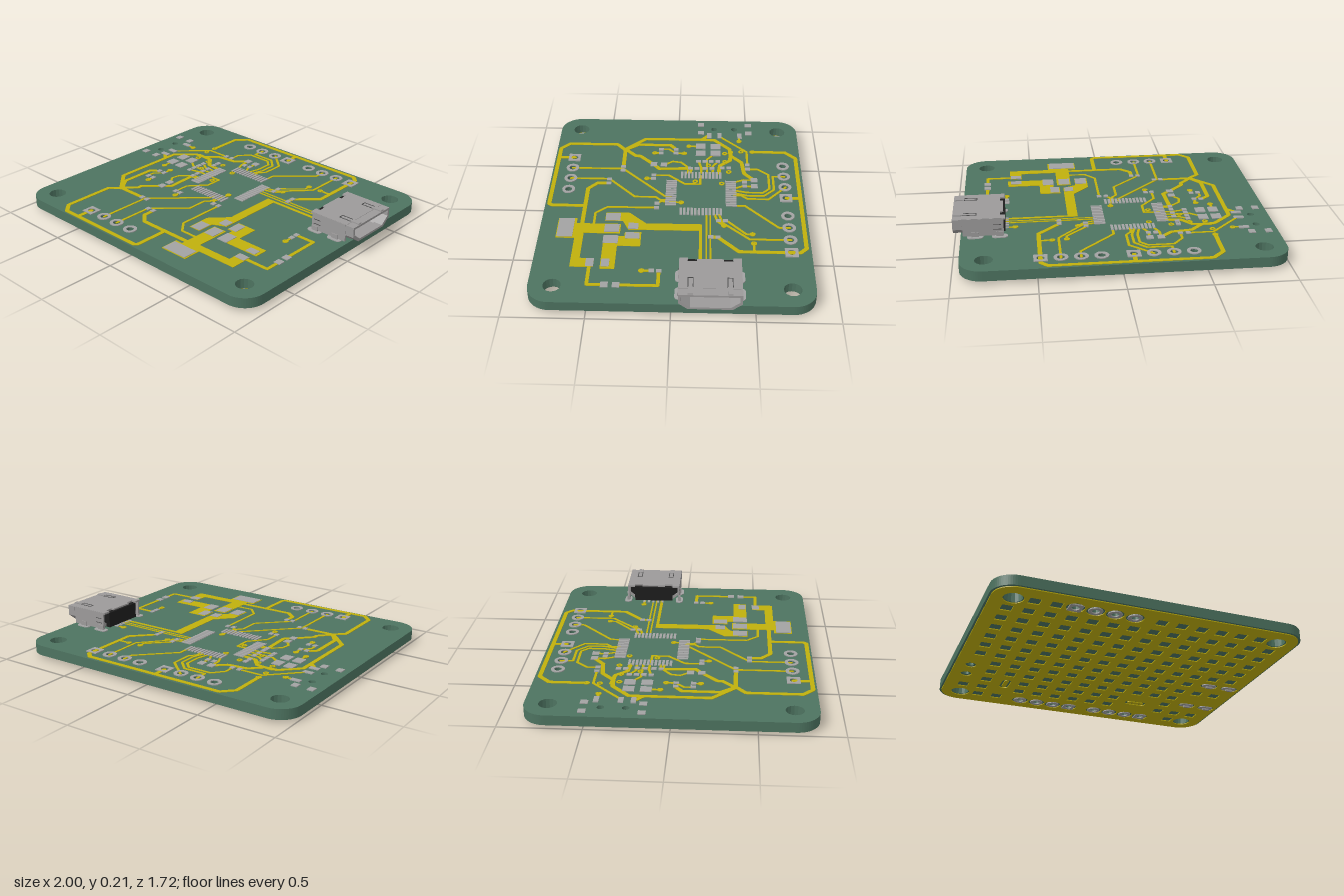
import * as THREE from 'three';
import { mergeGeometries } from 'three/addons/utils/BufferGeometryUtils.js';

const paint = (name, color) => new THREE.MeshStandardMaterial({ name, color });

// Plan outlines use (x, z); all corners rounded by r
function roundRect(T, cx, cz, w, d, r) {
  const s = new T(), a = w / 2 - r, b = d / 2 - r, q = Math.PI / 2;
  s.moveTo(cx + a + r, cz - b);
  s.absarc(cx + a, cz + b, r, 0, q);
  s.absarc(cx - a, cz + b, r, q, 2 * q);
  s.absarc(cx - a, cz - b, r, 2 * q, 3 * q);
  s.absarc(cx + a, cz - b, r, 3 * q, 4 * q);
  return s;
}
const circle = (T, x, z, r) => new T().absarc(x, z, r, 0, Math.PI * 2);
const polygon = (p, T = THREE.Shape) => {
  const pts = [];
  for (let i = 0; i < p.length; i += 2) pts.push(new THREE.Vector2(p[i], p[i + 1]));
  return new T(pts);
};
const rect = (T, x, z, w, d) => polygon([x - w / 2, z - d / 2, x + w / 2, z - d / 2, x + w / 2, z + d / 2, x - w / 2, z + d / 2], T);
// Horizontal slab from a plan outline
function slab(shape, y0, y1) {
  const g = new THREE.ExtrudeGeometry(shape, { depth: y1 - y0, bevelEnabled: false, curveSegments: 8 });
  return g.rotateX(Math.PI / 2).translate(0, y1, 0);
}
const box = (x, y, z, w, h, d) => new THREE.BoxGeometry(w, h, d).translate(x, y, z);

export function createModel() {
  const model = new THREE.Group();
  const green = paint('boardGreen', 0x4d7360), gold = paint('copperGold', 0xc0b00c);
  const grey = paint('solderGrey', 0xa2a2a2), steel = paint('shellSteel', 0x9c9a9a);
  const black = paint('plasticBlack', 0x1d1d1d), dark = paint('seamGrey', 0x4a4a4a);
  const add = (name, mat, list) => {
    const m = new THREE.Mesh(mergeGeometries(list.map(g => (g.index ? g.toNonIndexed() : g))), mat);
    m.name = name;
    model.add(m);
  };
  const TOP = 0.085, BOT = 0.021, CU = 0.088, PAD = 0.0905;

  // Hole positions
  const corners = [[-0.86, -0.72], [0.81, -0.72], [-0.86, 0.71], [0.81, 0.71]];
  const pins = [-0.43, -0.31, -0.19, -0.07, 0.12, 0.24, 0.36, 0.48].map(x => [x, -0.735, x === -0.07 || x === 0.48])
    .concat([-0.497, -0.375, -0.255, -0.13].map(x => [x, 0.72, x < -0.49]));
  const pegs = [[-0.887, -0.408], [-0.887, -0.262]];
  const tabs = [[0.715, -0.415], [0.715, -0.045], [0.865, -0.415], [0.865, -0.045]];

  // Board
  const board = roundRect(THREE.Shape, -0.0225, -0.0025, 1.955, 1.715, 0.14);
  corners.forEach(([x, z]) => board.holes.push(circle(THREE.Path, x, z, 0.055)));
  pins.forEach(([x, z]) => board.holes.push(circle(THREE.Path, x, z, 0.024)));
  pegs.forEach(([x, z]) => board.holes.push(circle(THREE.Path, x, z, 0.022)));
  add('board', green, [slab(board, BOT, TOP)]);

  // Hatched copper underneath, with clearances round the holes
  const hatch = roundRect(THREE.Shape, -0.0225, -0.0025, 1.93, 1.69, 0.13);
  corners.forEach(([x, z]) => hatch.holes.push(circle(THREE.Path, x, z, 0.062)));
  pins.forEach(([x, z]) => hatch.holes.push(circle(THREE.Path, x, z, 0.056)));
  pegs.forEach(([x, z]) => hatch.holes.push(circle(THREE.Path, x, z, 0.036)));
  tabs.forEach(([x, z]) => hatch.holes.push(roundRect(THREE.Path, x, z, 0.12, 0.07, 0.034)));
  const links = [[0.355, -0.505, 0.12, 0.03], [-0.6, -0.49, 0.03, 0.11]];
  links.forEach(([x, z, w, d]) => hatch.holes.push(roundRect(THREE.Path, x, z, w + 0.03, d + 0.03, 0.028)));
  const keepOut = [...corners, ...pins, ...pegs, ...tabs, ...links];
  for (let i = 0; i < 14; i++) for (let j = 0; j < 12; j++) {
    const x = -0.0225 + (i - 6.5) * 0.13, z = (j - 5.5) * 0.13;
    if (keepOut.every(([a, b]) => Math.max(Math.abs(a - x), Math.abs(b - z)) > 0.098))
      hatch.holes.push(rect(THREE.Path, x, z, 0.068, 0.068));
  }
  add('bottomCopper', gold, [slab(hatch, 0.015, BOT), ...links.map(([x, z, w, d]) =>
    slab(roundRect(THREE.Shape, x, z, w, d, 0.014), 0.015, BOT))]);

  // Traces: flat strips with round joints
  const copper = [];
  const trace = (w, ...p) => {
    for (let i = 0; i < p.length; i += 2) {
      const [x, z, x2, z2] = p.slice(i, i + 4);
      copper.push(new THREE.CylinderGeometry(w / 2, w / 2, CU - TOP, 8).translate(x, (CU + TOP) / 2, z));
      if (x2 === undefined) break;
      copper.push(new THREE.BoxGeometry(Math.hypot(x2 - x, z2 - z), CU - TOP, w)
        .rotateY(-Math.atan2(z2 - z, x2 - x)).translate((x + x2) / 2, (CU + TOP) / 2, (z + z2) / 2));
    }
  };
  const W = 0.027, N = 0.016;
  // supply loops
  trace(W, -0.6, -0.53, -0.6, -0.76, -0.53, -0.83, 0.44, -0.83, 0.48, -0.79, 0.48, -0.41, 0.345, -0.28, 0.345, -0.24);
  trace(W, -0.07, -0.83, -0.07, -0.74);
  trace(N, 0.48, -0.505, 0.4, -0.505);
  trace(W, -0.4, 0.37, -0.6, 0.37, -0.67, 0.43, -0.67, 0.77, -0.61, 0.83, 0.03, 0.83, 0.045, 0.81, 0.045, 0.59);
  trace(W, -0.5, 0.72, -0.5, 0.83);
  trace(W, -0.205, 0.455, -0.205, 0.53, -0.14, 0.59, 0.23, 0.59);
  trace(W, -0.265, -0.53, -0.34, -0.465, -0.47, -0.45, -0.55, -0.375, -0.63, -0.37, -0.745, -0.26, -0.745, 0.23, -0.605, 0.375);
  trace(W, -0.8, -0.22, -0.745, -0.17);
  trace(W, -0.62, 0.01, -0.67, 0.05, -0.67, 0.28, -0.61, 0.36);
  trace(W, -0.43, 0.16, -0.53, 0.26, -0.53, 0.29, -0.61, 0.37);
  trace(W, -0.43, 0.16, -0.38, 0.12, -0.39, -0.08);
  trace(W, -0.6, -0.38, -0.49, -0.37, -0.43, -0.3, -0.34, -0.29);
  // header fan
  trace(N, -0.44, -0.49, -0.6, -0.49, -0.78, -0.31);
  trace(N, -0.79, -0.44, -0.73, -0.44);
  trace(N, -0.31, -0.74, -0.31, -0.66, -0.16, -0.66, -0.09, -0.59, -0.09, -0.48, -0.115, -0.4);
  trace(N, -0.19, -0.74, -0.055, -0.62, -0.055, -0.48, -0.09, -0.44, -0.09, -0.39);
  trace(N, -0.39, -0.49, -0.39, -0.56, -0.33, -0.63, -0.17, -0.63, -0.125, -0.585, -0.125, -0.48, -0.145, -0.4);
  trace(N, -0.195, -0.53, -0.195, -0.45, -0.17, -0.4);
  trace(N, -0.265, -0.53, -0.265, -0.46, -0.24, -0.4);
  trace(N, 0.24, -0.74, 0.24, -0.67, 0.02, -0.46, 0.02, -0.38);
  trace(N, 0.36, -0.74, 0.36, -0.48, 0.2, -0.31, 0.12, -0.29);
  trace(N, 0.31, -0.5, 0.31, -0.46, 0.18, -0.34);
  trace(N, 0.23, -0.32, 0.19, -0.28, 0.12, -0.26);
  // connector lines
  trace(0.011, 0.12, -0.232, 0.69, -0.232);
  trace(0.011, 0.12, -0.207, 0.69, -0.207);
  trace(0.02, 0.24, -0.17, 0.7, -0.17);
  trace(N, 0.62, -0.295, 0.69, -0.295);
  // chip to small parts
  trace(N, -0.48, -0.29, -0.42, -0.25, -0.34, -0.25);
  trace(N, -0.58, -0.27, -0.5, -0.21, -0.34, -0.21);
  trace(N, -0.48, -0.15, -0.4, -0.17, -0.34, -0.17);
  trace(N, -0.66, -0.16, -0.66, -0.08);
  trace(N, -0.39, -0.1, -0.34, -0.1);
  trace(N, -0.43, 0.08, -0.47, 0.03, -0.46, -0.03, -0.4, -0.08, -0.34, -0.08);
  trace(N, -0.62, 0.11, -0.62, 0.06, -0.57, 0.01, -0.57, -0.05);
  trace(N, -0.57, 0.11, -0.57, 0.16);
  trace(N, -0.305, 0.155, -0.305, 0.05, -0.21, -0.06, -0.21, -0.165, -0.31, -0.165);
  trace(N, -0.265, 0.155, -0.265, 0.2);
  trace(N, -0.375, 0.72, -0.375, 0.37, -0.07, 0.07, -0.07, 0.03);
  trace(N, -0.255, 0.72, -0.255, 0.455, -0.06, 0.27, -0.06, 0.13, -0.03, 0.1, -0.03, 0.04);
  trace(N, 0.055, 0.12, 0.055, 0.44, 0.12, 0.515, 0.23, 0.515);
  trace(N, 0.01, 0.12, -0.015, 0.09, -0.005, -0.04);
  trace(0.022, 0.6, 0.505, 0.8, 0.505, 0.8, 0.4);
  trace(0.022, 0.8, 0.33, 0.8, 0.08, 0.67, 0.08);
  trace(N, 0.67, 0.125, 0.67, 0.185);
  // power areas
  [[0.22, -0.18, 0.285, -0.18, 0.285, 0.29, 0.2, 0.33, 0.2, 0.445, 0.115, 0.445, 0.115, 0.29, 0.22, 0.18],
    [0.31, 0.205, 0.445, 0.205, 0.445, 0.35, 0.66, 0.35, 0.66, 0.44, 0.35, 0.44, 0.35, 0.31, 0.31, 0.31],
    [0.23, 0.34, 0.325, 0.34, 0.325, 0.57, 0.565, 0.57, 0.565, 0.48, 0.645, 0.48, 0.645, 0.625, 0.375, 0.625,
      0.375, 0.745, 0.18, 0.745, 0.18, 0.625, 0.23, 0.625]].forEach(p => copper.push(slab(polygon(p), TOP, CU)));
  // vias
  [[-0.265, 0.2], [-0.57, 0.16], [-0.57, -0.05], [-0.66, -0.08], [-0.6, -0.53], [-0.6, -0.45], [-0.73, -0.44],
    [-0.575, -0.335], [-0.475, -0.335], [-0.355, -0.36], [-0.43, -0.22], [-0.22, -0.31], [-0.24, -0.13], [-0.005, -0.04],
    [0.23, -0.32], [0.4, -0.505], [0.31, -0.5], [0.62, -0.295], [0.67, 0.185]].forEach(([x, z]) => {
    const ring = circle(THREE.Shape, x, z, 0.019);
    ring.holes.push(circle(THREE.Path, x, z, 0.008));
    copper.push(slab(ring, TOP, CU + 0.001));
  });
  add('topTraces', gold, copper);

  // Solder pads
  const pads = [];
  const pad = (x, z, w = 0.03, d = 0.033) => pads.push(box(x, (TOP + PAD) / 2, z, w, PAD - TOP, d));
  for (let i = 0; i < 12; i++) {
    const t = (i - 5.5) * 0.0238;
    for (const s of [-0.2, 0.2]) {
      pad(-0.11 + t, -0.17 + s, 0.016, 0.072);
      pad(-0.11 + s, -0.17 + t, 0.072, 0.016);
    }
  }
  for (const x of [-0.94, -0.835]) for (const z of [-0.51, -0.165]) pad(x, z, 0.042, 0.046);
  for (const z of [-0.445, -0.3, -0.225]) pad(-0.8, z, 0.065, 0.032);
  for (const x of [-0.66, -0.575]) for (const z of [-0.27, -0.165]) pad(x, z, 0.063, 0.07);
  // small two-pad parts: x, z, x, z
  [[-0.44, -0.49, -0.39, -0.49], [-0.4, -0.36, -0.4, -0.315], [-0.475, -0.285, -0.475, -0.24],
    [-0.475, -0.195, -0.475, -0.15], [-0.39, -0.245, -0.39, -0.195], [-0.39, -0.14, -0.39, -0.095],
    [-0.615, 0.01, -0.57, 0.01], [-0.615, 0.115, -0.57, 0.115], [-0.305, 0.155, -0.265, 0.155],
    [-0.24, -0.465, -0.195, -0.465], [0.18, -0.33, 0.18, -0.285], [0.345, -0.28, 0.345, -0.235],
    [-0.4, 0.37, -0.355, 0.37], [-0.25, 0.455, -0.205, 0.455], [0.01, 0.12, 0.055, 0.12],
    [0.67, 0.08, 0.67, 0.125]].forEach(([a, b, c, d]) => { pad(a, b); pad(c, d); });
  [[-0.265, -0.53], [-0.195, -0.53], [-0.43, 0.09], [-0.43, 0.16], [0.8, 0.33], [0.8, 0.4]]
    .forEach(([x, z]) => pad(x, z, 0.045, 0.045));
  for (const x of [0.16, 0.275, 0.385]) pad(x, 0.395, 0.075, 0.095);
  for (const z of [0.41, 0.505]) pad(0.605, z, 0.072, 0.05);
  pad(0.25, 0.26, 0.06, 0.065);
  pad(0.345, 0.26, 0.06, 0.09);
  pad(0.275, 0.69, 0.18, 0.1);
  for (let i = -2; i <= 2; i++) pad(0.685, -0.232 + i * 0.033, 0.05, 0.016);
  // header rings on both faces, the first pin square
  pins.forEach(([x, z, square]) => [[TOP, PAD], [0.013, BOT]].forEach(([a, b]) => {
    const ring = square ? rect(THREE.Shape, x, z, 0.083, 0.083) : circle(THREE.Shape, x, z, 0.044);
    ring.holes.push(circle(THREE.Path, x, z, 0.024));
    pads.push(slab(ring, a, b));
  }));
  tabs.forEach(([x, z]) => [[TOP, PAD], [0.013, BOT]].forEach(([a, b]) =>
    pads.push(slab(roundRect(THREE.Shape, x, z, 0.1, 0.05, 0.024), a, b))));
  add('solderPads', grey, pads);

  // Connector shell: cross-section in (-z, y) drawn along x
  const along = (shape, x0, x1) => new THREE.ExtrudeGeometry(shape, { depth: x1 - x0, bevelEnabled: false })
    .rotateY(Math.PI / 2).translate(x0, 0, 0);
  const section = (T, h, lo, hi, cut) => polygon([0.23 - h + cut, lo, 0.23 + h - cut, lo, 0.23 + h, lo + cut * 0.8,
    0.23 + h, hi, 0.23 - h, hi, 0.23 - h, lo + cut * 0.8], T);
  const tube = (h, lo, hi, cut, t) => {
    const s = section(THREE.Shape, h, lo, hi, cut);
    s.holes.push(section(THREE.Path, h - t, lo + t, hi - t, cut));
    return s;
  };
  const shell = [along(tube(0.184, 0.091, 0.208, 0.055, 0.012), 0.71, 0.945), along(tube(0.186, 0.096, 0.206, 0.055, 0.014), 0.945, 1)];
  for (const s of [-1, 1]) {
    shell.push(box(0.815, 0.15, -0.23 + s * 0.18, 0.25, 0.112, 0.012)); // side skirts
    shell.push(box(0.965, 0.209, -0.23 + s * 0.115, 0.06, 0.008, 0.03)); // mouth lips
    shell.push(box(0.7, 0.202, -0.23 + s * 0.16, 0.04, 0.012, 0.05)); // rear ears
  }
  shell.push(box(0.705, 0.203, -0.23, 0.03, 0.01, 0.16));
  tabs.forEach(([x, z]) => shell.push(box(x, 0.06, z, 0.045, 0.12, 0.014)));
  add('connectorShell', steel, shell);

  // Plastic core, tongue and contacts
  add('connectorCore', black, [along(section(THREE.Shape, 0.17, 0.104, 0.195, 0.05), 0.72, 0.78),
    box(0.7, 0.145, -0.23, 0.04, 0.1, 0.27), box(0.86, 0.165, -0.23, 0.17, 0.022, 0.22)]);
  const contacts = [];
  for (let i = -2; i <= 2; i++) contacts.push(box(0.86, 0.152, -0.23 + i * 0.035, 0.172, 0.006, 0.016));
  add('contacts', gold, contacts);

  // Spring cut-outs on the top and sides
  const seams = [];
  for (const s of [-1, 1]) {
    for (const e of [-0.015, 0.015]) seams.push(box(0.895, 0.2085, -0.23 + s * 0.115 + e, 0.08, 0.003, 0.005));
    seams.push(box(0.855, 0.2085, -0.23 + s * 0.115, 0.005, 0.003, 0.034));
    for (const y of [0.135, 0.165]) seams.push(box(0.73, y, -0.23 + s * 0.186, 0.05, 0.004, 0.003));
  }
  add('springSeams', dark, seams);
  return model;
}
